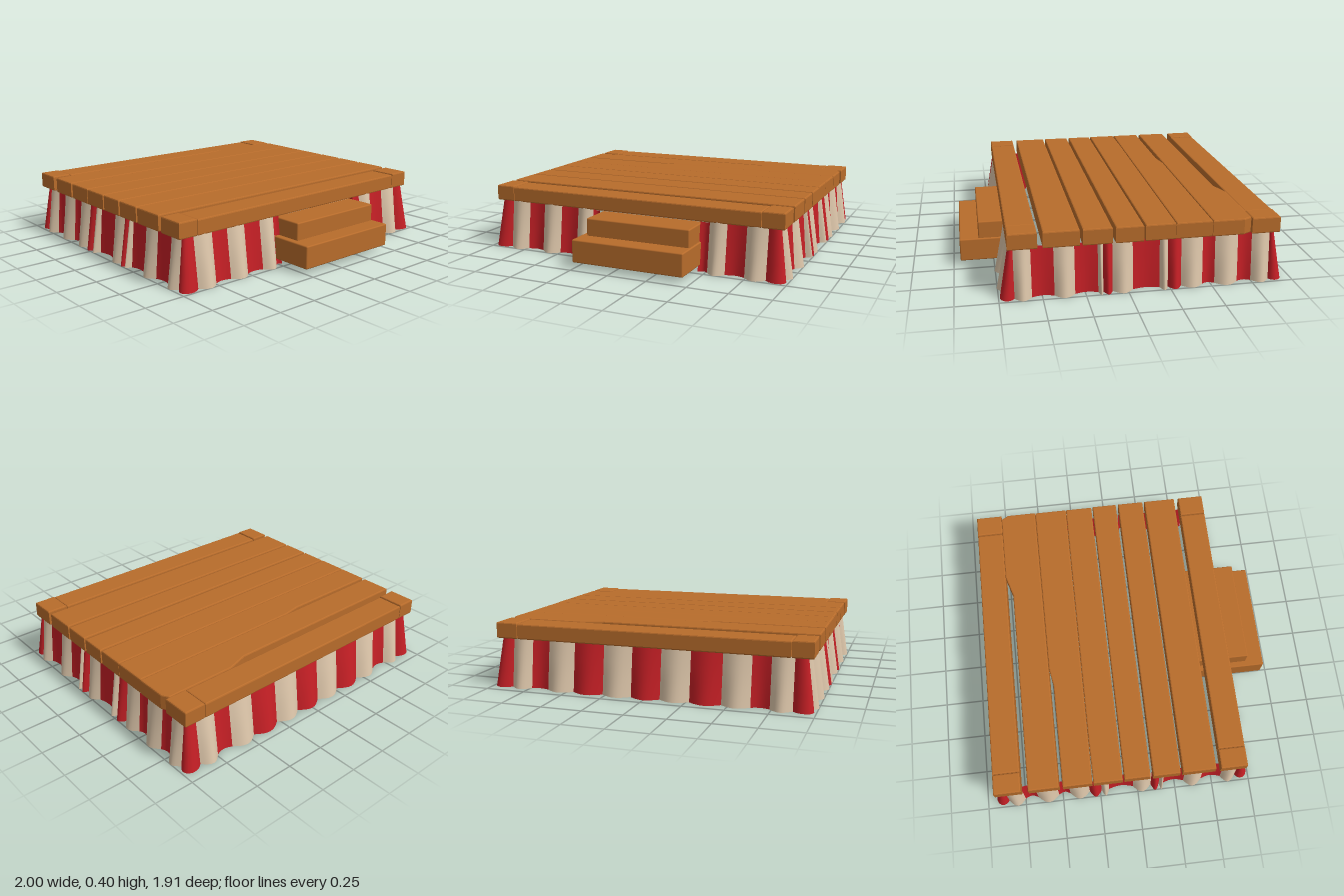
import * as THREE from 'three';
import { RoundedBoxGeometry } from 'three/addons/geometries/RoundedBoxGeometry.js';
import { mergeGeometries } from 'three/addons/utils/BufferGeometryUtils.js';

const material = (name, color, side = THREE.FrontSide) => {
  const m = new THREE.MeshStandardMaterial({ color, side });
  m.name = name;
  return m;
};

export function createModel() {
  const wood = material('wood', 0xb86c2b);
  const red = material('red cloth', 0xc41f25, THREE.DoubleSide);
  const cream = material('cream cloth', 0xdcc5a9, THREE.DoubleSide);
  const model = new THREE.Group();
  model.name = 'stagePlatform';

  const add = (name, geometry, mat, parent = model) => {
    const mesh = new THREE.Mesh(geometry, mat);
    mesh.name = name;
    parent.add(mesh);
    return mesh;
  };

  // Deck boards: bevelled slabs from an outline of [x, z] corners
  const deck = new THREE.Group();
  deck.name = 'deck';
  model.add(deck);
  const board = (name, outline, top = 0.4) => {
    const bevel = 0.008, bottom = 0.3;
    const shape = new THREE.Shape(outline.map(([x, z]) => new THREE.Vector2(x, -z)));
    const g = new THREE.ExtrudeGeometry(shape, {
      depth: top - bottom - 2 * bevel, bevelThickness: bevel, bevelSize: bevel,
      bevelOffset: -bevel, bevelSegments: 2,
    });
    g.rotateX(-Math.PI / 2).translate(0, bottom + bevel, 0);
    add(name, g, wood, deck);
  };
  const rect = (x0, x1, z0, z1) => [[x0, z1], [x1, z1], [x1, z0], [x0, z0]];

  // End boards with a block at each corner
  for (const [side, z0, z1] of [['back', -0.91, -0.738], ['front', 0.522, 0.692]]) {
    board(side + 'Board', rect(-0.852, 0.828, z0, z1), 0.395);
    board(side + 'RightBlock', rect(-0.98, -0.856, z0, z1));
    board(side + 'LeftBlock', rect(0.832, 0.968, z0, z1));
  }
  // Inner boards, the rear ones split unevenly
  board('board1', [[-0.98, -0.5], [0.967, -0.5], [0.967, -0.69], [0.94, -0.738],
    [0.49, -0.738], [0.35, -0.695], [-0.98, -0.695]]);
  board('board2', [[-0.98, -0.292], [-0.72, -0.29], [0.965, -0.282], [0.965, -0.498],
    [-0.2, -0.498], [-0.32, -0.478], [-0.98, -0.478]]);
  board('board3', [[-0.98, -0.1], [0.965, -0.1], [0.965, -0.28], [-0.71, -0.288], [-0.98, -0.19 - 0.095]]);
  [[-0.09, 0.075], [0.092, 0.265], [0.28, 0.492]].forEach(([z0, z1], i) =>
    board('board' + (i + 4), rect(-0.978, 0.968, z0, z1)));

  // Skirt: gathered cloth between a narrow top line and a flared hem
  const TOP = 0.305, CORNER_X = 0.87;
  const pieces = { red: [], cream: [] };
  const base = (f) => ({
    x: THREE.MathUtils.lerp(0.935, 0.96, f),
    front: THREE.MathUtils.lerp(0.672, 0.712, f),
    back: THREE.MathUtils.lerp(-0.872, -0.912, f),
  });
  // place(t, f) gives [x, z, nx, nz] across a stripe, f runs from top to hem
  const stripe = (color, place, bulge) => {
    const cols = 8, rows = 3;
    const g = new THREE.PlaneGeometry(1, 1, cols, rows);
    const p = g.attributes.position;
    for (let i = 0; i < p.count; i++) {
      const t = (i % (cols + 1)) / cols, f = Math.floor(i / (cols + 1)) / rows;
      const [x, z, nx, nz] = place(t, f);
      const out = bulge * Math.sin(Math.PI * t) * (0.45 + 0.55 * f);
      p.setXYZ(i, x + nx * out, TOP * (1 - f), z + nz * out);
    }
    g.computeVertexNormals();
    pieces[color].push(g);
  };
  // A run of alternating stripes; folds in red sink inward unless raised
  const run = (edges, first, line, raisedReds = []) => {
    for (let i = 0; i + 1 < edges.length; i++) {
      const isRed = (i % 2 === 0) === (first === 'red');
      const bulge = !isRed ? 0.042 : raisedReds.includes(i) ? 0.042 : -0.015;
      stripe(isRed ? 'red' : 'cream',
        (t, f) => line(THREE.MathUtils.lerp(edges[i], edges[i + 1], t), base(f)), bulge);
    }
  };
  const frontLine = (u, b) => [u, b.front, 0, 1];
  const backLine = (u, b) => [-u, b.back, 0, -1];
  run([-0.87, -0.74, -0.63, -0.5, -0.38, -0.27, -0.225], 'cream', frontLine);
  run([0.45, 0.51, 0.62, 0.74, 0.87], 'red', frontLine);
  run([-0.87, -0.74, -0.63, -0.46, -0.27, -0.09, 0.09, 0.27, 0.46, 0.63, 0.74, 0.87],
    'cream', backLine, [3, 5, 7]);
  const sideEdges = [0.66, 0.56, 0.43, 0.31, 0.175, 0.145, 0.09, -0.03, -0.19, -0.24,
    -0.32, -0.45, -0.525, -0.665, -0.75, -0.86];
  for (const s of [1, -1]) {
    const line = (u, b) => [s * b.x, u, s, 0];
    const edges = s > 0 ? sideEdges : [...sideEdges].reverse();
    run(edges, 'cream', line, s > 0 ? [5, 9] : [9, 5]);
    // Rounded red corner folds
    for (const [end, zc] of [['front', 0.66], ['back', -0.86]]) {
      const k = end === 'front' ? 1 : -1;
      stripe('red', (t, f) => {
        const a = (s * k > 0 ? t : 1 - t) * Math.PI / 2, b = base(f);
        const c = Math.cos(a), n = Math.sin(a);
        return [s * (CORNER_X + (b.x - CORNER_X) * n), zc + (b[end] - zc) * c, s * n, k * c];
      }, 0.05);
    }
  }
  add('redSkirtStripes', mergeGeometries(pieces.red), red);
  add('creamSkirtStripes', mergeGeometries(pieces.cream), cream);

  // Cloth hem folded under the front board
  const hem = add('frontHem', new THREE.BoxGeometry(0.9, 0.006, 0.12), cream);
  hem.position.set(0.1, 0.297, 0.61);

  // Two wooden steps at the front
  const step = (name, x0, x1, y0, y1, z0, z1) => {
    const g = new RoundedBoxGeometry(x1 - x0, y1 - y0, z1 - z0, 2, 0.008);
    g.translate((x0 + x1) / 2, (y0 + y1) / 2, (z0 + z1) / 2);
    add(name, g, wood);
  };
  step('lowerStep', -0.262, 0.46, 0.035, 0.177, 0.5, 0.957);
  step('upperStep', -0.225, 0.45, 0.17, 0.285, 0.5, 0.84);

  return model;
}
